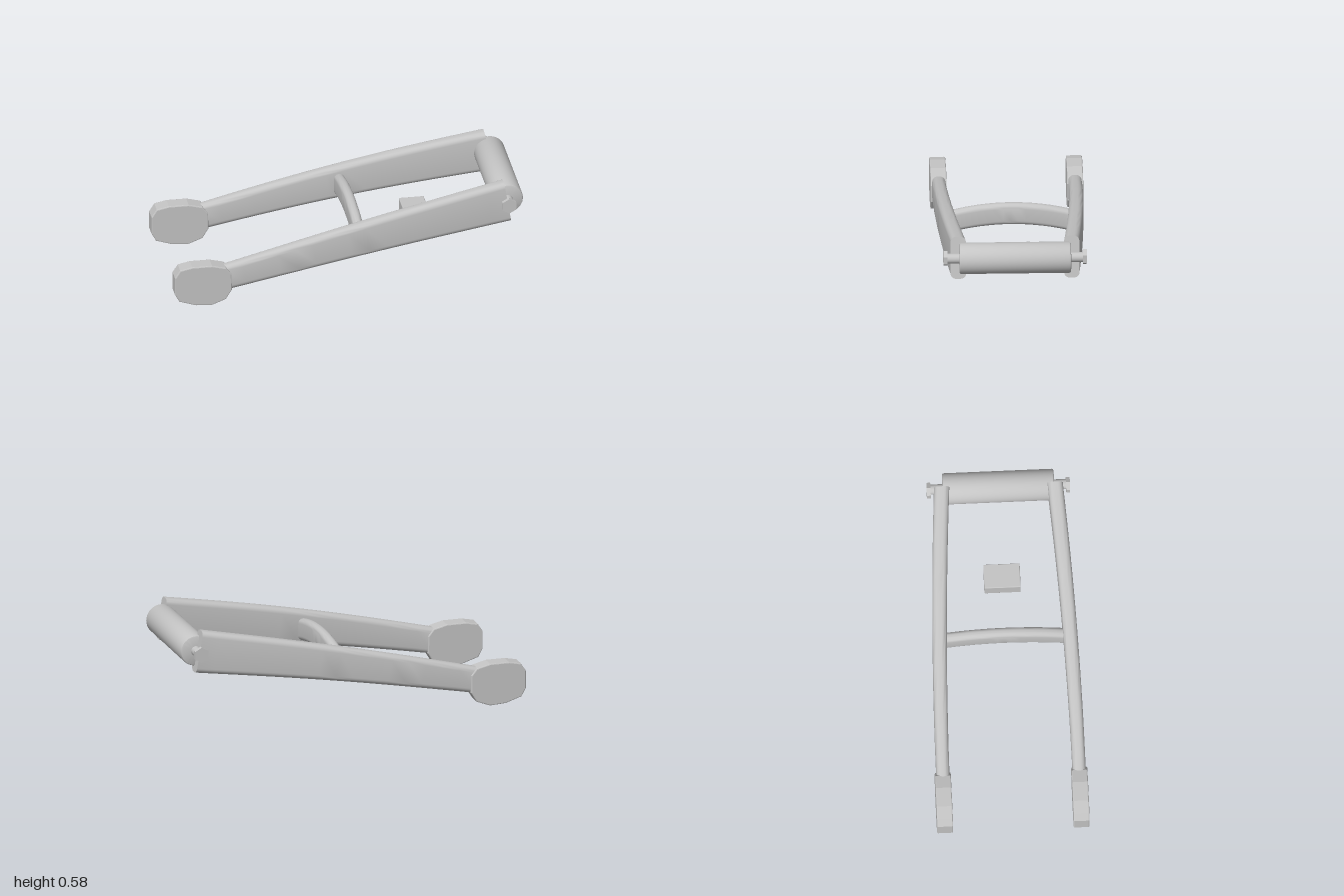
import * as THREE from 'three';
import { toCreasedNormals } from 'three/addons/utils/BufferGeometryUtils.js';
import { RoundedBoxGeometry } from 'three/addons/geometries/RoundedBoxGeometry.js';

const metal = new THREE.MeshStandardMaterial({ color: 0xc4c4c4 });
metal.name = 'light grey metal';

// Rounded rectangle outline (half sizes a, b), counter-clockwise
function roundedOutline(a, b, r, steps = 5) {
  const points = [];
  [[1, 1], [-1, 1], [-1, -1], [1, -1]].forEach(([sx, sy], k) => {
    for (let i = 0; i <= steps; i++) {
      const angle = (k + i / steps) * Math.PI / 2;
      points.push([sx * (a - r) + r * Math.cos(angle), sy * (b - r) + r * Math.sin(angle)]);
    }
  });
  return points;
}

// Skin a row of equal cross-sections and close both ends
function loft(sections) {
  const n = sections[0].length, last = sections.length - 1;
  const positions = [];
  const tri = (...pts) => pts.forEach((p) => positions.push(p.x, p.y, p.z));
  const middle = (s) => s.reduce((m, p) => m.add(p), new THREE.Vector3()).divideScalar(n);
  const first = sections[0], end = sections[last];
  const c0 = middle(first), c1 = middle(end);
  for (let j = 0; j < n; j++) {
    const k = (j + 1) % n;
    for (let i = 0; i < last; i++) {
      const a = sections[i], b = sections[i + 1];
      tri(a[j], b[j], a[k]);
      tri(a[k], b[j], b[k]);
    }
    tri(c0, first[j], first[k]);
    tri(c1, end[k], end[j]);
  }
  const geometry = new THREE.BufferGeometry();
  geometry.setAttribute('position', new THREE.Float32BufferAttribute(positions, 3));
  return toCreasedNormals(geometry, 0.7);
}

// Tapered arm, bowed inwards and slightly upwards towards the roller
function armGeometry(side) {
  const sections = [];
  for (let i = 0; i <= 16; i++) {
    const t = i / 16;
    const lift = 0.016 * Math.sin(Math.PI * t);
    const top = new THREE.Vector2(-0.72 + 1.605 * t, 0.23 + 0.355 * t + lift);
    const bottom = new THREE.Vector2(-0.69 + 1.615 * t, 0.083 + 0.262 * t + lift);
    const centre = top.clone().add(bottom).multiplyScalar(0.5);
    const up = top.clone().sub(bottom);
    const half = up.length() / 2;
    up.normalize();
    const z = 0.382 - 0.064 * Math.pow(t, 1.9);
    const ring = roundedOutline(0.037 + 0.006 * t, half, 0.03).map(([u, v]) =>
      new THREE.Vector3(centre.x + up.x * v, centre.y + up.y * v, side * (z + u)));
    sections.push(side > 0 ? ring : ring.reverse());
  }
  return loft(sections);
}

// Arched brace between the arms
function braceGeometry() {
  const sections = [];
  for (let i = 0; i <= 16; i++) {
    const s = i / 8 - 1;
    const y = 0.31 + 0.045 * (1 - s * s);
    sections.push(roundedOutline(0.064, 0.03, 0.028).map(([u, v]) =>
      new THREE.Vector3(0.065 + v, y + u, s * 0.34)));
  }
  return loft(sections);
}

// Faceted end pad with a fine bevel
function padGeometry() {
  const outline = [[-0.994, 0.088], [-0.97, 0.045], [-0.88, 0.016], [-0.79, 0.011],
    [-0.714, 0.04], [-0.682, 0.092], [-0.684, 0.188], [-0.714, 0.225],
    [-0.79, 0.244], [-0.9, 0.244], [-0.967, 0.23], [-0.994, 0.188]];
  const shape = new THREE.Shape(outline.map(([x, y]) => new THREE.Vector2(x, y)));
  const geometry = new THREE.ExtrudeGeometry(shape, {
    depth: 0.078, bevelThickness: 0.006, bevelSize: 0.006, bevelSegments: 2,
  });
  return geometry.translate(0, 0, -0.039);
}

// Roller drum with softened rims, lying along z
function rollerGeometry() {
  const r = 0.088, h = 0.313, b = 0.01;
  const profile = [[0, -h], [r - b, -h], [r - b * 0.3, -h + b * 0.3], [r, -h + b],
    [r, h - b], [r - b * 0.3, h - b * 0.3], [r - b, h], [0, h]];
  const lathe = new THREE.LatheGeometry(profile.map(([x, y]) => new THREE.Vector2(x, y)), 40);
  return toCreasedNormals(lathe, 0.6).rotateX(Math.PI / 2);
}

export function createModel() {
  const model = new THREE.Group();
  model.name = 'swingArm';
  const add = (name, geometry, x = 0, y = 0, z = 0) => {
    const mesh = new THREE.Mesh(geometry, metal);
    mesh.name = name;
    mesh.position.set(x, y, z);
    model.add(mesh);
    return mesh;
  };

  // Roller and its axle
  const axleX = 0.912, axleY = 0.465;
  add('roller', rollerGeometry(), axleX, axleY);
  add('axle', new THREE.CylinderGeometry(0.028, 0.028, 0.77, 24).rotateX(Math.PI / 2), axleX, axleY);

  // Paired arms, pads and hexagonal nuts
  const pad = padGeometry();
  const nut = toCreasedNormals(new THREE.CylinderGeometry(0.045, 0.045, 0.022, 6), 0.5)
    .rotateX(Math.PI / 2);
  for (const side of [1, -1]) {
    const label = side > 0 ? 'front' : 'back';
    add(label + 'Arm', armGeometry(side));
    add(label + 'Pad', pad, 0, 0, side * 0.383);
    add(label + 'Nut', nut, axleX - 0.006, axleY, side * 0.391);
  }

  // Brace and the small block between the arms
  add('brace', braceGeometry());
  add('block', new RoundedBoxGeometry(0.142, 0.086, 0.204, 2, 0.005), 0.435, 0.272, 0);

  // Rest on the ground
  model.children.forEach((part) => { part.position.y -= 0.005; });
  return model;
}
